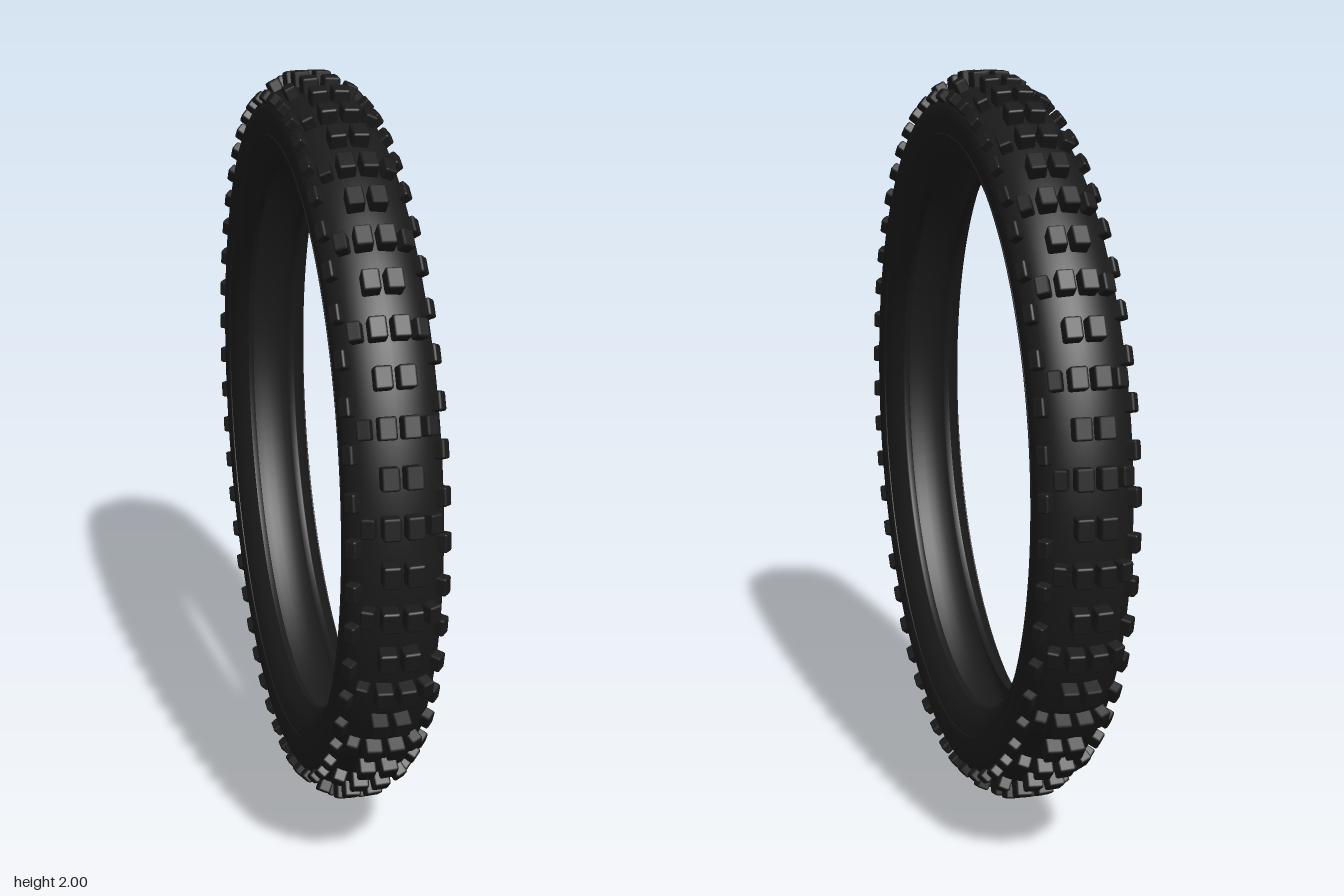
import * as THREE from 'three';
import { mergeGeometries } from 'three/addons/utils/BufferGeometryUtils.js';
import { RoundedBoxGeometry } from 'three/addons/geometries/RoundedBoxGeometry.js';

const ROWS = 52;

export function createModel() {
  const tire = new THREE.Group();
  tire.name = 'tire';
  tire.position.y = 1;
  const rubber = new THREE.MeshStandardMaterial({ color: 0x1a1a1a });

  const add = (name, geometry) => {
    const mesh = new THREE.Mesh(geometry, rubber);
    mesh.name = name;
    tire.add(mesh);
  };

  // Half cross-sections as [radius, x], from the bead to the crown
  const outer = [[0.75, 0.07], [0.765, 0.083], [0.79, 0.1], [0.83, 0.115], [0.87, 0.122],
    [0.905, 0.117], [0.936, 0.093], [0.956, 0.052], [0.964, 0]];
  const inner = [[0.752, 0.054], [0.77, 0.064], [0.8, 0.088], [0.85, 0.104], [0.9, 0.098],
    [0.932, 0.055], [0.942, 0]];
  const section = (half, samples) => {
    const flip = half.slice(0, -1).reverse();
    const points = [...half.map(([r, x]) => [r, -x]), ...flip];
    return new THREE.SplineCurve(points.map(([r, x]) => new THREE.Vector2(r, x))).getPoints(samples);
  };

  // Hollow casing: outside, over the bead, back along the inside
  const loop = [...section(outer, 44), ...section(inner, 30).reverse()];
  loop.push(loop[0].clone());
  add('casing', new THREE.LatheGeometry(loop, 156).rotateZ(-Math.PI / 2));

  // Fine rim line on both sidewalls
  for (const side of [1, -1]) {
    add('rimLine', new THREE.TorusGeometry(0.83, 0.003, 6, 156)
      .rotateY(Math.PI / 2).translate(side * 0.115, 0, 0));
  }

  // A mirrored pair of blocks in every chosen row, tilted to the casing
  const knobs = (name, { x, r, tilt, size, step = 1, shift = 0 }) => {
    const blocks = [];
    for (let i = 0; i < ROWS; i += step) {
      for (const side of [1, -1]) {
        blocks.push(new RoundedBoxGeometry(...size, 1, 0.006)
          .rotateZ(-side * tilt)
          .translate(side * x, r, 0)
          .rotateX(((i + shift) / ROWS) * Math.PI * 2));
      }
    }
    add(name, mergeGeometries(blocks));
  };

  knobs('centreKnobs', { x: 0.028, r: 0.974, tilt: 0.06, size: [0.044, 0.05, 0.056] });
  knobs('shoulderKnobs', { x: 0.075, r: 0.953, tilt: 0.45, size: [0.034, 0.05, 0.05], step: 2 });
  knobs('edgeKnobs', { x: 0.105, r: 0.927, tilt: 0.85, size: [0.032, 0.044, 0.048], shift: 0.5 });

  return tire;
}
